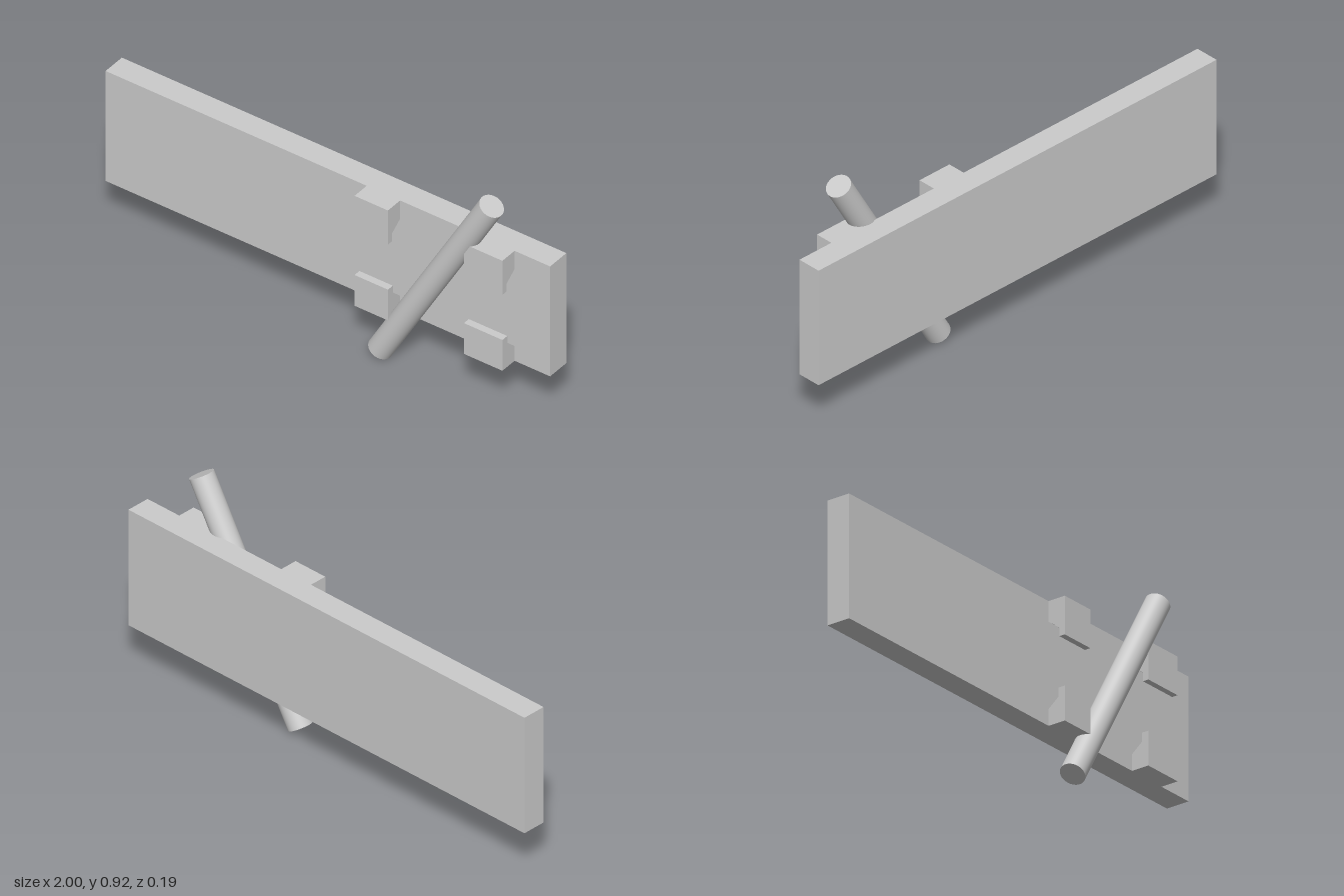
import * as THREE from 'three';

export function createModel() {
  const group = new THREE.Group();
  const material = new THREE.MeshStandardMaterial({ color: 0xcccccc });
  const add = (name, geometry) => {
    const mesh = new THREE.Mesh(geometry, material);
    mesh.name = name;
    group.add(mesh);
    return mesh;
  };

  // Long flat board
  add('board', new THREE.BoxGeometry(2, 0.5, 0.1)).position.set(0, 0.45, -0.045);

  // Hooked clips: a (z, y) profile with a lip and sloped throat, extruded along x
  const profiles = {
    upperClip: [[0.005, 0.7], [0.005, 0.617], [0.055, 0.58], [0.055, 0.545], [0.08, 0.545], [0.08, 0.7]],
    lowerClip: [[0.005, 0.2], [0.08, 0.2], [0.08, 0.34], [0.05, 0.34], [0.05, 0.303], [0.005, 0.267]],
  };
  const spans = { Inner: [0.175, 0.325], Outer: [0.667, 0.84] };
  for (const [name, points] of Object.entries(profiles)) {
    const shape = new THREE.Shape(points.map(([z, y]) => new THREE.Vector2(z, y)));
    for (const [side, [x0, x1]] of Object.entries(spans)) {
      const geometry = new THREE.ExtrudeGeometry(shape, { depth: x1 - x0, bevelEnabled: false });
      geometry.rotateY(-Math.PI / 2).translate(x1, 0, 0);
      add(name + side, geometry);
    }
  }

  // Round rod leaning across the clips
  const rod = add('rod', new THREE.CylinderGeometry(0.049, 0.049, 1, 48));
  rod.position.set(0.516, 0.461, 0.045);
  rod.rotation.z = -Math.PI / 6;

  return group;
}
